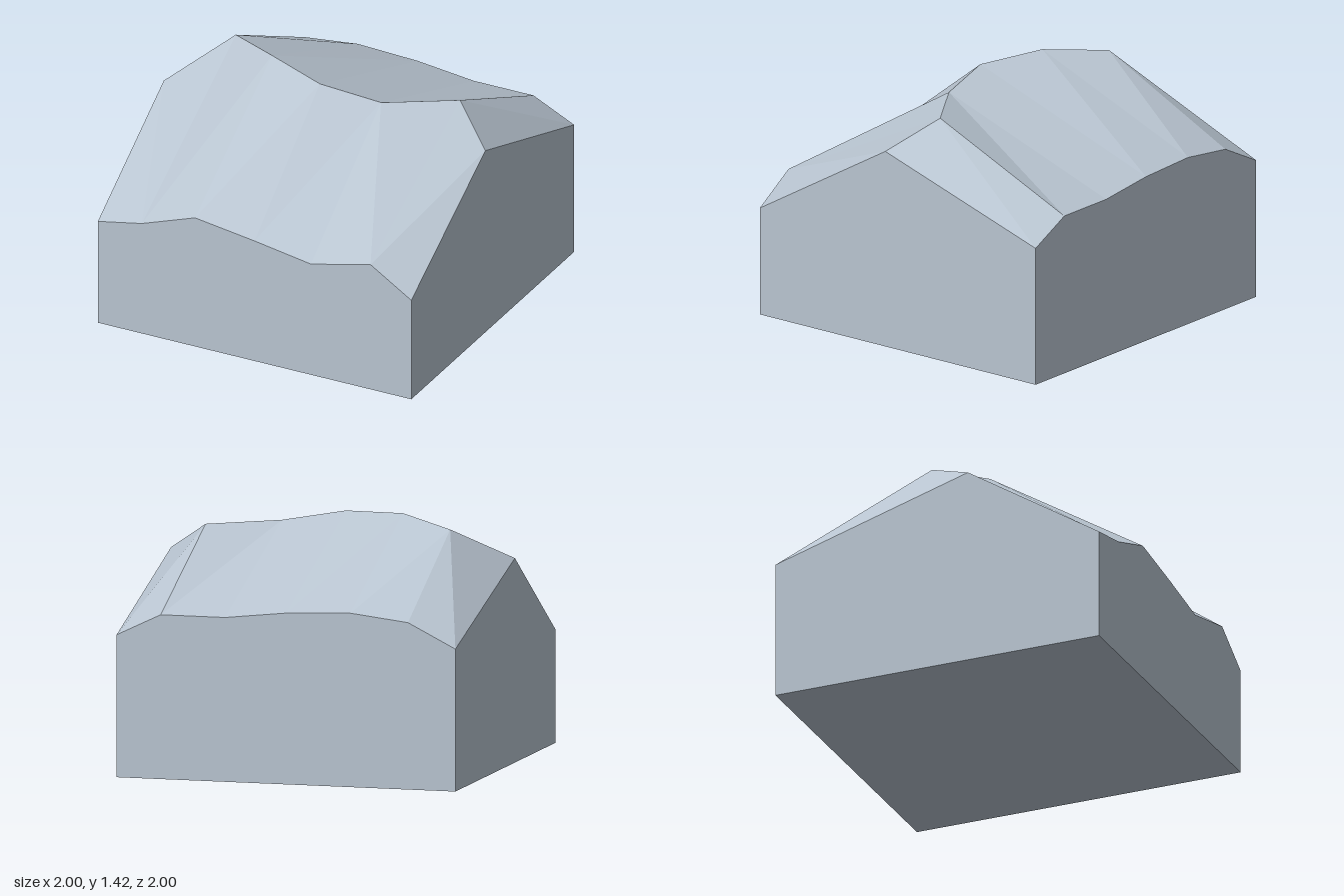
import * as THREE from 'three';

// Cross-sections from right to left: x, front height, ridge height, ridge z, back height,
// then which way the front and back slopes fold towards the next section
// (1: from this ridge point, 0: from the next ridge point).
const SECTIONS = [
  [-1, 0.65, 1.17, 0.19, 0.815, 1, 0],
  [-0.72, 0.705, 1.37, -0.155, 0.955, 0, 1],
  [-0.38, 0.825, 1.42, 0.055, 0.995, 0, 1],
  [0, 0.77, 1.4, 0.2, 0.98, 0, 0],
  [0.36, 0.71, 1.34, 0.14, 0.94, 1, 1],
  [0.74, 0.8, 1.335, -0.1, 0.94, 0, 1],
  [1, 0.635, 1.165, 0.09, 0.815, 0, 0],
];

// Flat faces from convex polygons, corners counter-clockwise seen from outside
function facetMesh(name, polygons, material) {
  const positions = [];
  for (const p of polygons)
    for (let i = 1; i < p.length - 1; i++) positions.push(...p[0], ...p[i], ...p[i + 1]);
  const geometry = new THREE.BufferGeometry();
  geometry.setAttribute('position', new THREE.Float32BufferAttribute(positions, 3));
  geometry.computeVertexNormals();
  const mesh = new THREE.Mesh(geometry, material);
  mesh.name = name;
  return mesh;
}

export function createModel() {
  const stone = new THREE.MeshStandardMaterial({ color: 0xb8c4d0 });
  stone.name = 'pale blue grey';

  const rings = SECTIONS.map(([x, front, top, z, back, foldFront, foldBack]) => ({
    frontBase: [x, 0, 1], front: [x, front, 1], ridge: [x, top, z],
    back: [x, back, -1], backBase: [x, 0, -1], foldFront, foldBack,
  }));

  const frontSlope = [], backSlope = [], walls = [];
  for (let i = 0; i < rings.length - 1; i++) {
    const a = rings[i], b = rings[i + 1];
    // Folded front slope
    if (a.foldFront) frontSlope.push([a.front, b.front, a.ridge], [a.ridge, b.front, b.ridge]);
    else frontSlope.push([a.front, b.front, b.ridge], [a.front, b.ridge, a.ridge]);
    // Folded back slope
    if (a.foldBack) backSlope.push([a.ridge, b.ridge, b.back], [a.ridge, b.back, a.back]);
    else backSlope.push([a.ridge, b.ridge, a.back], [b.ridge, b.back, a.back]);
    // Upright front and back walls, and the underside
    walls.push([a.frontBase, b.frontBase, b.front, a.front]);
    walls.push([b.backBase, a.backBase, a.back, b.back]);
    walls.push([a.backBase, b.backBase, b.frontBase, a.frontBase]);
  }
  // Gable ends
  const outline = (r) => [r.frontBase, r.backBase, r.back, r.ridge, r.front];
  walls.push(outline(rings[rings.length - 1]), outline(rings[0]).reverse());

  const group = new THREE.Group();
  group.name = 'ridgeBlock';
  group.add(
    facetMesh('frontSlope', frontSlope, stone),
    facetMesh('backSlope', backSlope, stone),
    facetMesh('baseWalls', walls, stone),
  );
  return group;
}
